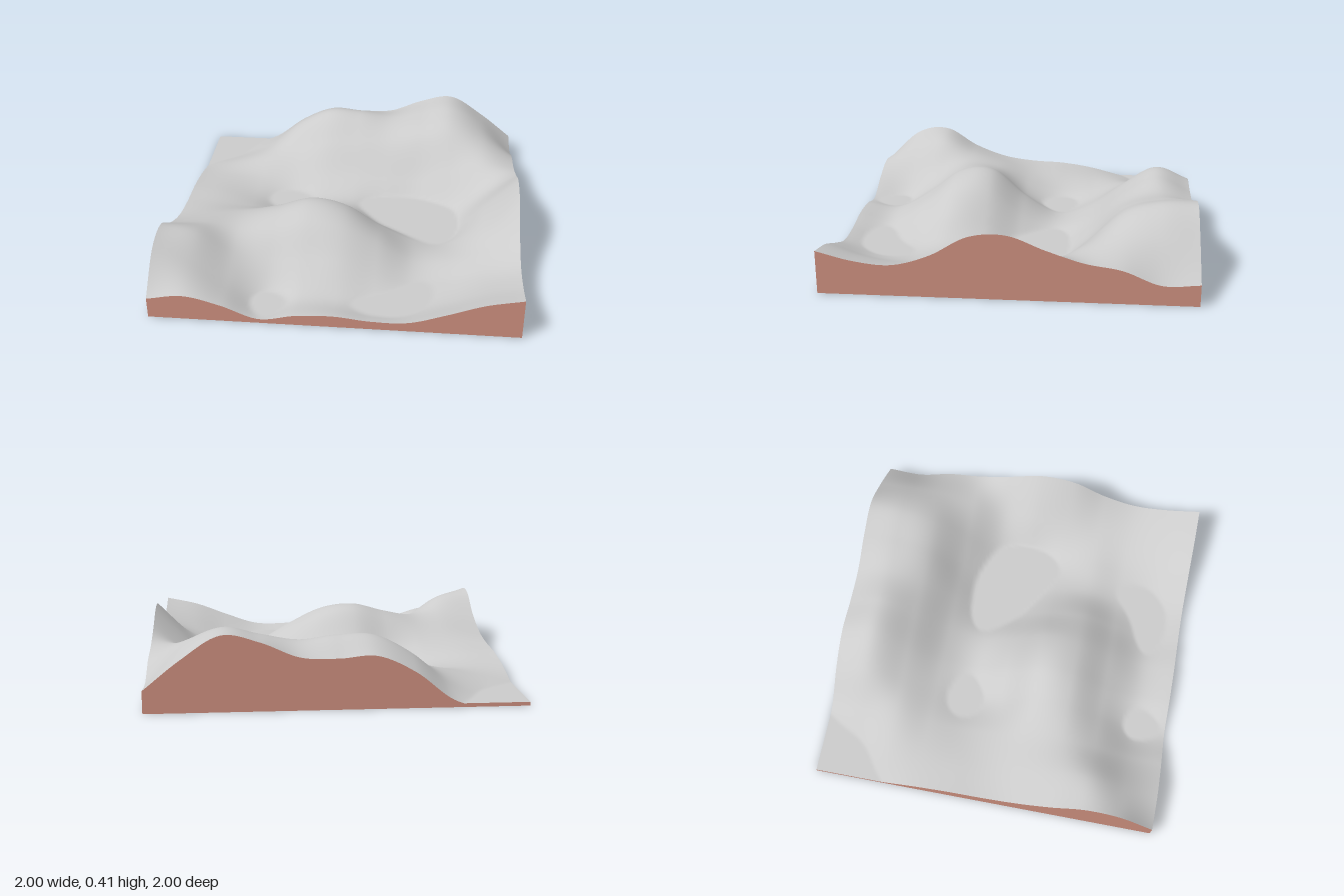
import * as THREE from 'three';

const SEGMENTS = 120;
const LAKE_LEVEL = 0.02;

// Control heights in hundredths: rows run back to front, columns from x = -1 to x = 1
const HEIGHTS = [
  [-2, -1, 4, 19, 28, 27, 28, 36, 40, 28, 12],
  [-2, 1, 9, 25, 35, 35, 32.5, 36, 40, 30, 11],
  [2, 6, 11, 16, 23, 25, 26, 30, 34, 29, 18.5],
  [7, 7, 6, 5, 8, 9, 9, 10, 17, 23, 22],
  [10, 8.5, 4.5, -1, 3, 3, -3, -4, 1, 14, 28.5],
  [11, 11, 10, 8, 14, 11, 1, -4, -3, 16, 36],
  [14, 17, 19, 24, 30, 26, 13, 3.5, 3, 15, 34.5],
  [21.5, 23, 21.5, 24.5, 28.5, 26.5, 17, 6, 6, 12, 23.5],
  [33, 29, 17, 12, 14, 14, 8, 2, 3.5, 10, 17.5],
  [30, 22, 10, 0, 4, 3.5, 0, 0, 5, 13, 19],
  [12, 15, 10, 2.5, 6, 7, 5, 5.5, 12, 19.5, 24],
];

// Smooth curve through evenly spaced values, t in 0..1
function spline(values, t) {
  const last = values.length - 1;
  const i = Math.min(Math.floor(t * last), last - 1);
  const f = t * last - i;
  const b = values[i], c = values[i + 1];
  const a = i > 0 ? values[i - 1] : 2 * b - c;
  const d = i + 2 <= last ? values[i + 2] : 2 * c - b;
  return b + 0.5 * f * (c - a + f * (2 * a - 5 * b + 4 * c - d + f * (3 * (b - c) + d - a)));
}

// Ground height, flattened wherever it dips below the lake level
function heightAt(x, z) {
  const u = THREE.MathUtils.clamp((x + 1) / 2, 0, 1);
  const v = THREE.MathUtils.clamp((z + 1) / 2, 0, 1);
  const h = spline(HEIGHTS.map((row) => spline(row, u)), v) / 100;
  return Math.max(h, LAKE_LEVEL);
}

export function createModel() {
  const model = new THREE.Group();
  model.name = 'terrainBlock';
  const groundMaterial = new THREE.MeshStandardMaterial({ color: 0xcccccc });
  const earthMaterial = new THREE.MeshStandardMaterial({ color: 0xcf9180 });

  const add = (name, geometry, material) => {
    const mesh = new THREE.Mesh(geometry, material);
    mesh.name = name;
    model.add(mesh);
    return mesh;
  };

  // Rolling surface with flat lakes
  const ground = new THREE.PlaneGeometry(2, 2, SEGMENTS, SEGMENTS).rotateX(-Math.PI / 2);
  const p = ground.attributes.position;
  for (let i = 0; i < p.count; i++) p.setY(i, heightAt(p.getX(i), p.getZ(i)));
  ground.computeVertexNormals();
  add('ground', ground, groundMaterial);

  // Four cut earth walls, each following the edge of the ground
  ['frontWall', 'leftWall', 'backWall', 'rightWall'].forEach((name, k) => {
    const angle = (k * Math.PI) / 2;
    const cos = Math.cos(angle), sin = Math.sin(angle);
    const outline = [new THREE.Vector2(-1, 0), new THREE.Vector2(1, 0)];
    for (let i = SEGMENTS; i >= 0; i--) {
      const u = (2 * i) / SEGMENTS - 1;
      outline.push(new THREE.Vector2(u, heightAt(u * cos + sin, cos - u * sin)));
    }
    const wall = new THREE.ShapeGeometry(new THREE.Shape(outline));
    add(name, wall.translate(0, 0, 1).rotateY(angle), earthMaterial);
  });

  // Flat underside
  add('underside', new THREE.PlaneGeometry(2, 2).rotateX(Math.PI / 2), earthMaterial);

  return model;
}
